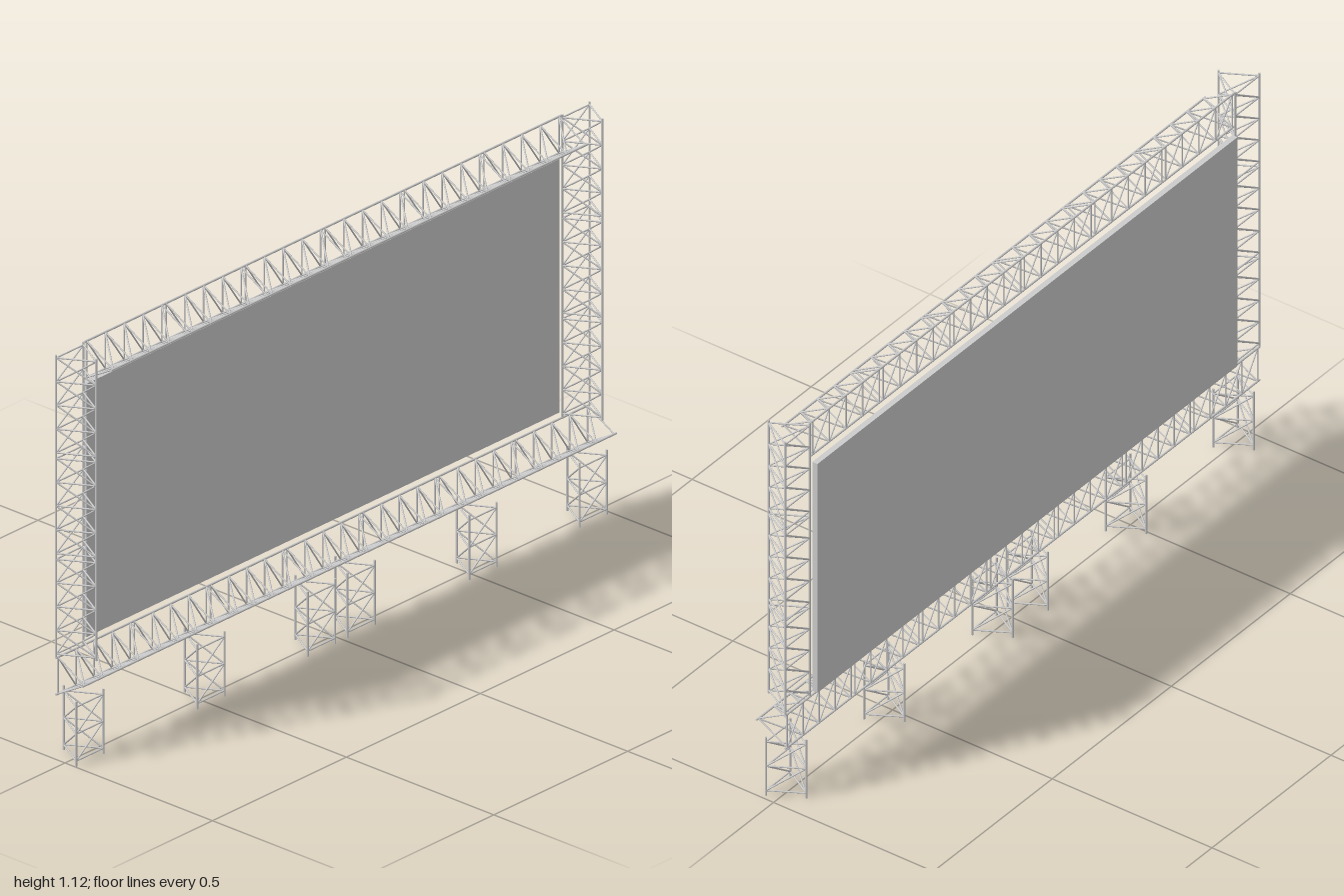
import * as THREE from 'three';
import { mergeGeometries } from 'three/addons/utils/BufferGeometryUtils.js';

const material = new THREE.MeshStandardMaterial({ color: 0xcccccc });
const HALF = 0.051; // half width of the two-rail face
const RAIL = 0.003;
const BRACE = 0.0022;

// Cylinder between two points
function rod(a, b, radius) {
  const dir = b.clone().sub(a);
  const geo = new THREE.CylinderGeometry(radius, radius, dir.length(), 8);
  const turn = new THREE.Quaternion().setFromUnitVectors(new THREE.Vector3(0, 1, 0), dir.normalize());
  return geo.applyQuaternion(turn).translate((a.x + b.x) / 2, (a.y + b.y) / 2, (a.z + b.z) / 2);
}

// Triangular lattice truss rising along y from 0: three rails, rungs and winding diagonals
function truss(name, { length, modules, bays, stub, baseZ, apexZ }) {
  const corners = [[-HALF, baseZ], [HALF, baseZ], [0, apexZ]];
  const at = (i, y) => new THREE.Vector3(corners[i % 3][0], y, corners[i % 3][1]);
  const parts = [];
  const size = length / modules;
  const step = (size - 2 * stub) / bays;
  for (let i = 0; i < 3; i++) {
    parts.push(rod(at(i, 0), at(i, length), RAIL));
    for (let m = 0; m < modules; m++) {
      for (let k = 0; k <= bays; k++) {
        const y = m * size + stub + k * step;
        parts.push(rod(at(i, y), at(i + 1, y), BRACE));
        if (k < bays) parts.push(rod(at(i, y), at(i + 1, y + step), BRACE));
      }
    }
  }
  const mesh = new THREE.Mesh(mergeGeometries(parts), material);
  mesh.name = name;
  return mesh;
}

export function createModel() {
  const model = new THREE.Group();
  model.name = 'screenOnTrussFrame';
  const frame = { bays: 4, stub: 0.008, baseZ: -0.034, apexZ: 0.056 };

  // Upright side columns, apex to the front
  for (const [side, s] of [['left', 1], ['right', -1]]) {
    const column = truss(side + 'Column', { ...frame, length: 0.84, modules: 3 });
    column.position.set(s * 0.945, 0.283, 0);
    model.add(column);
  }

  // Horizontal beams across the top and bottom
  for (const [name, length, modules, y] of [['topBeam', 1.78, 6, 1.071], ['bottomBeam', 1.994, 7, 0.229]]) {
    const beam = truss(name, { ...frame, length, modules });
    beam.rotation.z = -Math.PI / 2;
    beam.position.set(-length / 2, y, 0);
    model.add(beam);
  }

  // Short legs, apex to the back
  [-0.945, -0.493, -0.08, 0.068, 0.523, 0.935].forEach((x, i) => {
    const leg = truss('leg' + (i + 1), {
      length: 0.18, modules: 1, bays: 2, stub: 0.015, baseZ: 0.034, apexZ: -0.054,
    });
    leg.position.x = x;
    model.add(leg);
  });

  // Screen panel mounted on the back rails
  const screen = new THREE.Mesh(new THREE.BoxGeometry(1.766, 0.705, 0.016), material);
  screen.name = 'screenPanel';
  screen.position.set(0.004, 0.648, -0.045);
  model.add(screen);

  return model;
}
